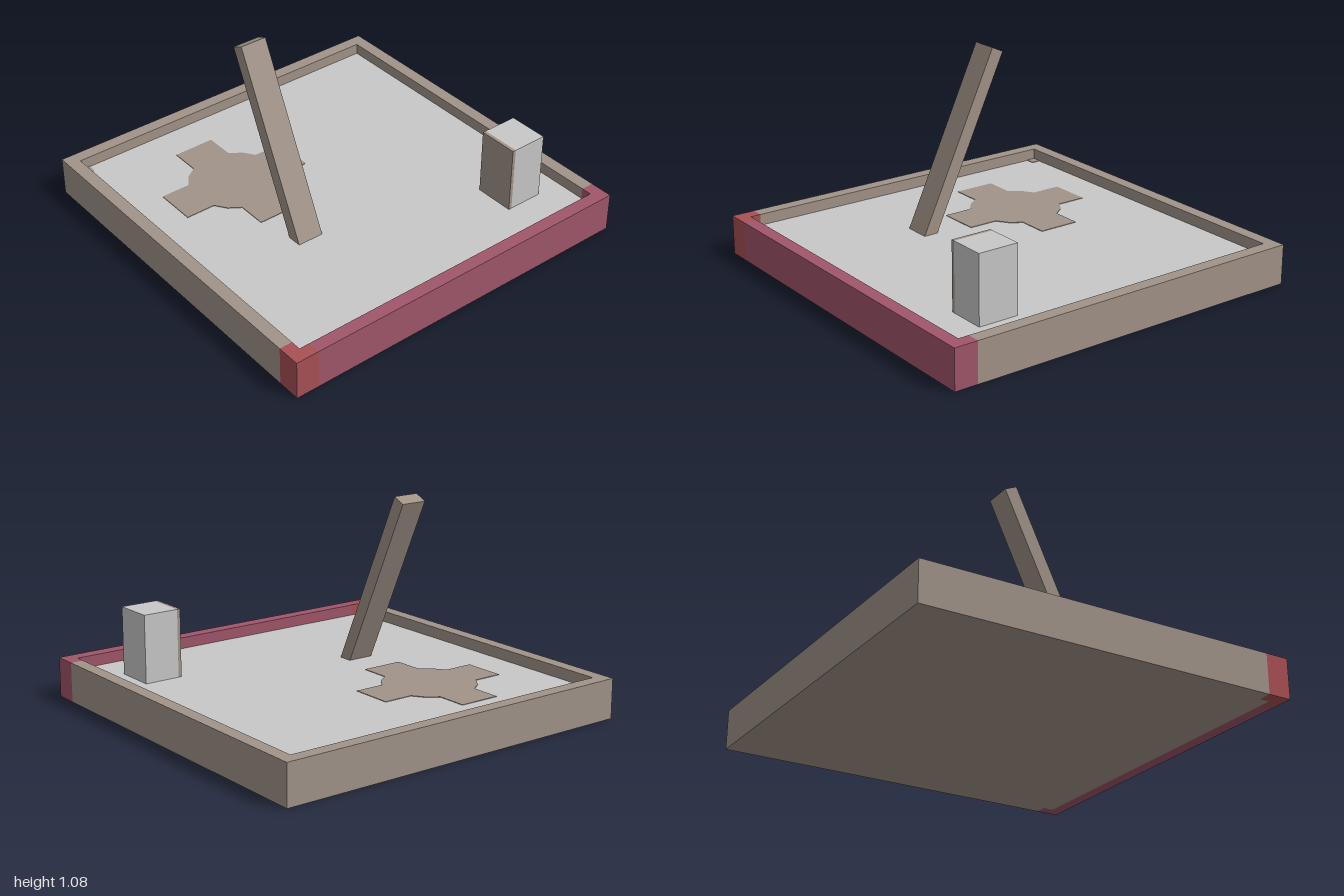
import * as THREE from 'three';

const material = (name, color) => {
  const m = new THREE.MeshStandardMaterial({ color });
  m.name = name;
  return m;
};

export function createModel() {
  const model = new THREE.Group();
  model.name = 'tray';
  const brown = material('taupe', 0xa19388);
  const grey = material('light grey', 0xc8c8c8);
  const mauve = material('mauve', 0xa0566a);
  const red = material('brick red', 0xa85055);

  const H = 0.21, FLOOR = 0.15, IN = 0.93, SPLIT = 0.875;

  // box given by its minimum and maximum corners
  const box = (name, mat, [x0, y0, z0], [x1, y1, z1], parent = model) => {
    const mesh = new THREE.Mesh(new THREE.BoxGeometry(x1 - x0, y1 - y0, z1 - z0), mat);
    mesh.position.set((x0 + x1) / 2, (y0 + y1) / 2, (z0 + z1) / 2);
    mesh.name = name;
    parent.add(mesh);
    return mesh;
  };

  // floor slab: grey above, taupe below
  box('floor', [brown, brown, grey, brown, brown, brown], [-IN, 0, -IN], [IN, FLOOR, IN]);

  // rim walls
  const rim = new THREE.Group();
  rim.name = 'rim';
  model.add(rim);
  box('rightWall', brown, [-1, 0, -1], [-IN, H, 1], rim);
  box('frontWall', brown, [-IN, 0, IN], [SPLIT, H, 1], rim);
  box('backWall', brown, [-IN, 0, -1], [SPLIT, H, -IN], rim);
  box('leftWall', mauve, [IN, 0, -1], [1, H, SPLIT], rim);
  box('backCorner', mauve, [SPLIT, 0, -1], [IN, H, -IN], rim);
  box('frontCorner', red, [SPLIT, 0, IN], [1, H, 1], rim);
  box('frontCornerReturn', red, [IN, 0, SPLIT], [1, H, IN], rim);

  // upright block with a taupe front
  const block = new THREE.Group();
  block.name = 'block';
  model.add(block);
  box('blockBody', grey, [0.495, FLOOR, -0.785], [0.712, 0.507, -0.593], block);
  box('blockFront', brown, [0.495, FLOOR, -0.593], [0.712, 0.507, -0.575], block);

  // leaning post, sunk into the floor
  const tilt = THREE.MathUtils.degToRad(25), length = 1.06, width = 0.0715;
  const post = new THREE.Mesh(new THREE.BoxGeometry(width, length, 0.143), brown);
  post.name = 'leaningPost';
  post.rotation.z = tilt;
  post.position.set(
    -0.187 + Math.sin(tilt) * length / 2,
    1.066 - Math.cos(tilt) * length / 2,
    0.357
  );
  model.add(post);

  // flat plate on the floor from an outline in x and z
  const plate = (name, points, x, z) => {
    const shape = new THREE.Shape(points.map(([px, pz]) => new THREE.Vector2(px, -pz)));
    const geo = new THREE.ExtrudeGeometry(shape, { depth: 0.003, bevelEnabled: false });
    geo.rotateX(-Math.PI / 2);
    const mesh = new THREE.Mesh(geo, brown);
    mesh.name = name;
    mesh.position.set(x, FLOOR, z);
    model.add(mesh);
  };

  // cross with a rounded hub: one arm turned four times
  const arm = [[0.375, -0.112], [0.375, 0.112], [0.215, 0.112], [0.173, 0.173], [0.112, 0.215]];
  const cross = [];
  for (let i = 0; i < 4; i++) {
    const a = i * Math.PI / 2, c = Math.round(Math.cos(a)), s = Math.round(Math.sin(a));
    for (const [x, z] of arm) cross.push([x * c - z * s, x * s + z * c]);
  }
  plate('crossPatch', cross, -0.357, 0.355);

  // small patch in the front corner
  plate('cornerPatch', [[0, 0], [0, -0.05], [0.04, -0.05], [0.05, -0.04], [0.05, 0]], -IN, IN);

  return model;
}
